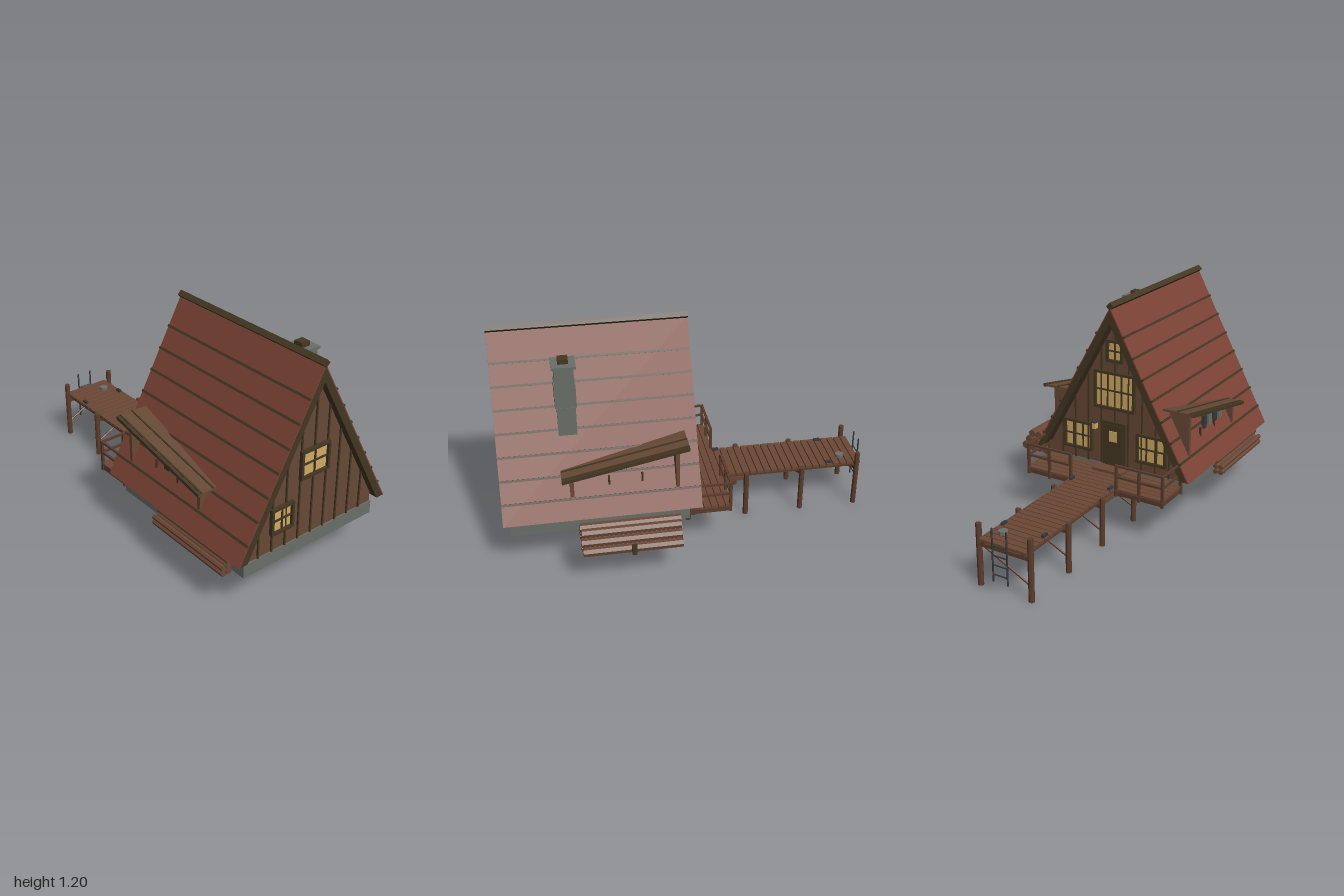
import * as THREE from 'three';

export function createModel() {
  const model = new THREE.Group();
  const mat = (name, color) => {
    const m = new THREE.MeshStandardMaterial({ color, flatShading: true });
    m.name = name;
    return m;
  };
  const wall = mat('wall wood', 0x674936);
  const red = mat('red roofing', 0x7c4336);
  const trim = mat('dark trim', 0x443722);
  const post = mat('post wood', 0x5a3c2c);
  const deck = mat('deck wood', 0x6b4836);
  const stone = mat('grey stone', 0x696e68);
  const glow = mat('lit glass', 0xd2ab66);
  const iron = mat('dark iron', 0x35383a);

  const RX = -0.095; // ridge line in x
  const roofD = (y) => ((1.172 - y) / 0.867) * 0.475; // half width of the roof at a height

  const group = (name, parent = model) => {
    const g = new THREE.Group();
    g.name = name;
    parent.add(g);
    return g;
  };
  const add = (name, geo, material, parent = model) => {
    const m = new THREE.Mesh(geo, material);
    m.name = name;
    parent.add(m);
    return m;
  };
  // box given by its extents
  const box = (name, x0, x1, y0, y1, z0, z1, material, parent) => {
    const m = add(name, new THREE.BoxGeometry(x1 - x0, y1 - y0, z1 - z0), material, parent);
    m.position.set((x0 + x1) / 2, (y0 + y1) / 2, (z0 + z1) / 2);
    return m;
  };
  // round bar between two points
  const bar = (name, a, b, r, material, parent, sides = 7) => {
    const p = new THREE.Vector3(...a), q = new THREE.Vector3(...b);
    const m = add(name, new THREE.CylinderGeometry(r, r, p.distanceTo(q), sides), material, parent);
    m.position.copy(p).lerp(q, 0.5);
    m.quaternion.setFromUnitVectors(new THREE.Vector3(0, 1, 0), q.sub(p).normalize());
    return m;
  };
  // profile in x (from the ridge line) and y, extruded along z
  const slab = (name, pts, z0, z1, material, parent) => {
    const shape = new THREE.Shape(pts.map(([x, y]) => new THREE.Vector2(RX + x, y)));
    const m = add(name, new THREE.ExtrudeGeometry(shape, { depth: z1 - z0, bevelEnabled: false }), material, parent);
    m.position.z = z0;
    return m;
  };

  // Foundation and gabled body
  const house = group('house');
  box('foundation', -0.512, 0.325, 0.205, 0.275, 0.04, 0.965, stone, house);
  slab('gableBody', [[-0.415, 0.275], [0.415, 0.275], [0.415, 0.345], [0, 1.12], [-0.415, 0.345]], 0.045, 0.958, wall, house);
  for (let i = -4; i <= 4; i++) {
    const x = RX + i * 0.0825;
    const top = 1.1 - Math.abs(i) * 0.0825 * 1.82;
    box('frontBatten', x - 0.004, x + 0.004, 0.275, top, 0.95, 0.966, trim, house);
    box('backBatten', x - 0.004, x + 0.004, 0.275, top, 0.037, 0.05, trim, house);
  }

  // Roof: dark under-layer, red covering, battens and ridge beam
  const roof = group('roof');
  slab('roofBoards', [[-0.467, 0.307], [0, 1.16], [0.467, 0.307], [0.425, 0.307], [0, 1.085], [-0.425, 0.307]], -0.02, 0.998, trim, roof);
  slab('roofCovering', [[-0.475, 0.305], [0, 1.172], [0.475, 0.305], [0.466, 0.305], [0, 1.155], [-0.466, 0.305]], -0.019, 0.997, red, roof);
  const ridge = box('ridgeBeam', RX - 0.015, RX + 0.015, 1.162, 1.192, -0.02, 1, trim, roof);
  ridge.rotation.z = Math.PI / 4;
  for (const s of [-1, 1]) for (let i = 0; i < 7; i++) {
    const y = 1.025 - i * 0.104, x = RX + s * roofD(y);
    const b = box('roofBatten', x - 0.006, x + 0.006, y - 0.006, y + 0.006, -0.019, 0.997, trim, roof);
    b.rotation.z = -s * 1.07;
  }

  // Windows: frame, crossbars and a thin lit pane
  const windowAt = (name, x, y, w, h, cols, rows, z, dir) => {
    const g = group(name);
    const at = (n, cx, cy, bw, bh, d, m) =>
      box(n, cx - bw / 2, cx + bw / 2, cy - bh / 2, cy + bh / 2, z + Math.min(0, dir * d), z + Math.max(0, dir * d), m, g);
    at('pane', x, y, w - 0.01, h - 0.01, 0.006, glow);
    for (const s of [-1, 1]) {
      at('frameSide', x + s * (w / 2 - 0.007), y, 0.014, h, 0.02, trim);
      at('frameRail', x, y + s * (h / 2 - 0.007), w, 0.014, 0.02, trim);
    }
    for (let i = 1; i < cols; i++) at('mullion', x - w / 2 + (w * i) / cols, y, 0.008, h, 0.013, trim);
    for (let i = 1; i < rows; i++) at('crossbar', x, y - h / 2 + (h * i) / rows, w, 0.008, 0.013, trim);
  };
  windowAt('frontUpperWindow', RX, 0.677, 0.18, 0.152, 2, 2, 0.958, 1);
  windowAt('frontLowerWindow', -0.287, 0.44, 0.138, 0.142, 2, 2, 0.958, 1);
  windowAt('backAtticWindow', RX, 0.925, 0.1, 0.12, 2, 2, 0.045, -1);
  windowAt('backLargeWindow', RX, 0.705, 0.25, 0.21, 3, 2, 0.045, -1);
  windowAt('backLeftWindow', 0.132, 0.415, 0.18, 0.165, 3, 2, 0.045, -1);
  windowAt('backRightWindow', -0.322, 0.415, 0.18, 0.165, 3, 2, 0.045, -1);

  // Back door, step and lantern
  const door = group('door');
  box('doorFrame', RX - 0.07, RX + 0.07, 0.265, 0.53, 0.03, 0.05, trim, door);
  box('doorLeaf', RX - 0.055, RX + 0.055, 0.265, 0.515, 0.026, 0.05, trim, door);
  box('doorPane', RX - 0.024, RX + 0.024, 0.42, 0.48, 0.022, 0.03, glow, door);
  box('doorStep', RX - 0.09, RX + 0.09, 0.26, 0.28, -0.045, 0.04, deck, door);
  box('lantern', 0.01, 0.03, 0.475, 0.51, 0.012, 0.04, glow, door);
  box('lanternCap', 0.006, 0.034, 0.51, 0.516, 0.008, 0.044, iron, door);

  // Chimney
  const chimney = group('chimney');
  box('chimneyBase', 0.07, 0.172, 0.62, 0.84, 0.588, 0.682, stone, chimney);
  box('chimneyMiddle', 0.061, 0.169, 0.84, 0.965, 0.582, 0.69, stone, chimney);
  box('chimneyTop', 0.066, 0.173, 0.965, 1.057, 0.588, 0.685, stone, chimney);
  box('chimneyCap', 0.055, 0.178, 1.057, 1.07, 0.575, 0.697, stone, chimney);
  box('chimneyPot', 0.09, 0.142, 1.07, 1.095, 0.61, 0.662, trim, chimney);

  // Side canopies sloping down towards the front, with triangular cheeks
  const canopyY = (z) => 0.661 - ((z - 0.045) / 0.645) * 0.13;
  for (const s of [-1, 1]) {
    const g = group(s > 0 ? 'leftCanopy' : 'rightCanopy');
    const sheet = (name, inner, outer, y0, y1, material) => {
      const geo = new THREE.BoxGeometry(2, 2, 2);
      const p = geo.attributes.position;
      for (let i = 0; i < p.count; i++) {
        const z = p.getZ(i) > 0 ? 0.69 : 0.045;
        const d = p.getX(i) * s > 0 ? outer : inner ?? roofD(canopyY(z)) - 0.01;
        p.setXYZ(i, RX + s * d, canopyY(z) + (p.getY(i) > 0 ? y1 : y0), z);
      }
      geo.computeVertexNormals();
      add(name, geo, material, g);
    };
    sheet('canopySheet', null, 0.457, -0.012, 0, wall);
    for (const d of [0.368, 0.438]) sheet('canopyBatten', d - 0.004, d + 0.004, -0.001, 0.005, trim);
    sheet('canopyEdge', 0.445, 0.46, -0.016, 0.002, trim);
    for (const z of [0.1, 0.64]) {
      const y = canopyY(z) - 0.012;
      slab('canopyCheek', [[s * (roofD(y) - 0.02), y], [s * 0.418, y], [s * 0.418, 0.4]], z - 0.01, z + 0.01, wall, g);
    }
    for (const z of [0.28, 0.45]) {
      const x = RX + s * 0.39;
      box('canopyStud', x - 0.006, x + 0.006, 0.45, 0.5, z - 0.005, z + 0.005, trim, g);
    }
    if (s < 0) for (let i = 0; i < 4; i++) {
      const z = 0.33 + i * 0.065;
      box('storedBoard', RX - 0.385, RX - 0.37, 0.44, 0.545 - i * 0.008, z, z + 0.04, i % 2 ? stone : iron, g);
    }
  }

  // Porch with railings either side of the walkway
  const porch = group('porch');
  box('porchFrame', -0.505, 0.318, 0.222, 0.25, -0.175, 0.04, post, porch);
  for (let i = 0; i < 6; i++) box('porchPlank', -0.51, 0.322, 0.25, 0.264, -0.187 + i * 0.038, -0.153 + i * 0.038, deck, porch);
  for (const s of [-1, 1]) {
    const far = RX + s * 0.41, near = RX + s * 0.14;
    for (const [x, z] of [[far, -0.18], [near, -0.18], [(far + near) / 2, -0.18], [far, 0.02]])
      box('railPost', x - 0.007, x + 0.007, 0.22, 0.397, z - 0.007, z + 0.007, post, porch);
    for (const y of [0.33, 0.392]) {
      box('backRail', Math.min(far, near), Math.max(far, near), y - 0.005, y + 0.005, -0.186, -0.174, post, porch);
      box('sideRail', far - 0.006, far + 0.006, y - 0.005, y + 0.005, -0.18, 0.03, post, porch);
    }
  }

  // Walkway: planks, stringers, posts and diagonal braces
  const dock = group('dock');
  for (let i = 0; i < 20; i++) box('dockPlank', -0.23, 0.04, 0.25, 0.264, -0.226 - i * 0.0397, -0.192 - i * 0.0397, deck, dock);
  for (const x of [-0.21, RX, 0.02]) box('stringer', x - 0.01, x + 0.01, 0.232, 0.25, -0.975, -0.17, post, dock);
  box('walkwayBeam', -0.225, 0.035, 0.21, 0.235, -0.32, -0.16, deck, dock);
  for (const z of [0.325, 0, -0.325, -0.64, -0.955]) {
    const top = z < -0.9 ? 0.33 : z < -0.1 ? 0.268 : 0.225;
    for (const x of [-0.24, 0.056]) bar('dockPost', [x, 0, z], [x, top, z], 0.015, post, dock, 8);
    if (z > 0.1) continue;
    bar('dockBrace', [-0.235, 0.085, z], [0.05, 0.228, z], 0.006, post, dock, 5);
    box('crossBeam', -0.245, 0.06, 0.215, 0.234, z - 0.01, z + 0.01, post, dock);
  }
  for (const x of [-0.212, 0.024]) for (const z of [-0.2, -0.8])
    box('cleat', x - 0.008, x + 0.008, 0.262, 0.276, z - 0.018, z + 0.018, iron, dock);
  bar('bucket', [-0.03, 0.262, -0.88], [-0.03, 0.28, -0.88], 0.024, stone, dock, 10);

  // Ladder at the end of the walkway
  const ladder = group('ladder');
  for (const x of [-0.135, -0.052]) bar('ladderRail', [x, 0.07, -0.995], [x, 0.35, -0.995], 0.0045, iron, ladder, 6);
  for (let i = 0; i < 4; i++) bar('ladderRung', [-0.135, 0.11 + i * 0.05, -0.995], [-0.052, 0.11 + i * 0.05, -0.995], 0.0035, iron, ladder, 6);

  // Log piles on both sides
  const logs = group('logPile');
  for (let row = 0; row < 3; row++) for (let i = 0; i < 4 - row; i++) {
    if (row === 2 && i > 1) continue;
    const x = 0.403 + row * 0.0245 + i * 0.0485, y = 0.228 + row * 0.04;
    bar('log', [x, y, 0.108 + ((i + row) % 2) * 0.006], [x, y, 0.62 - (i % 2) * 0.006], 0.0235, deck, logs, 7);
  }
  for (const x of [0.378, 0.58]) box('logStake', x - 0.005, x + 0.005, 0.208, 0.27, 0.35, 0.375, trim, logs);
  const firewood = group('firewood');
  for (const [x, y] of [[-0.573, 0.219], [-0.542, 0.219], [-0.573, 0.249], [-0.542, 0.249], [-0.543, 0.279]])
    bar('thinLog', [x, y, 0.37], [x, y, 0.9], 0.0145, deck, firewood, 7);

  return model;
}
